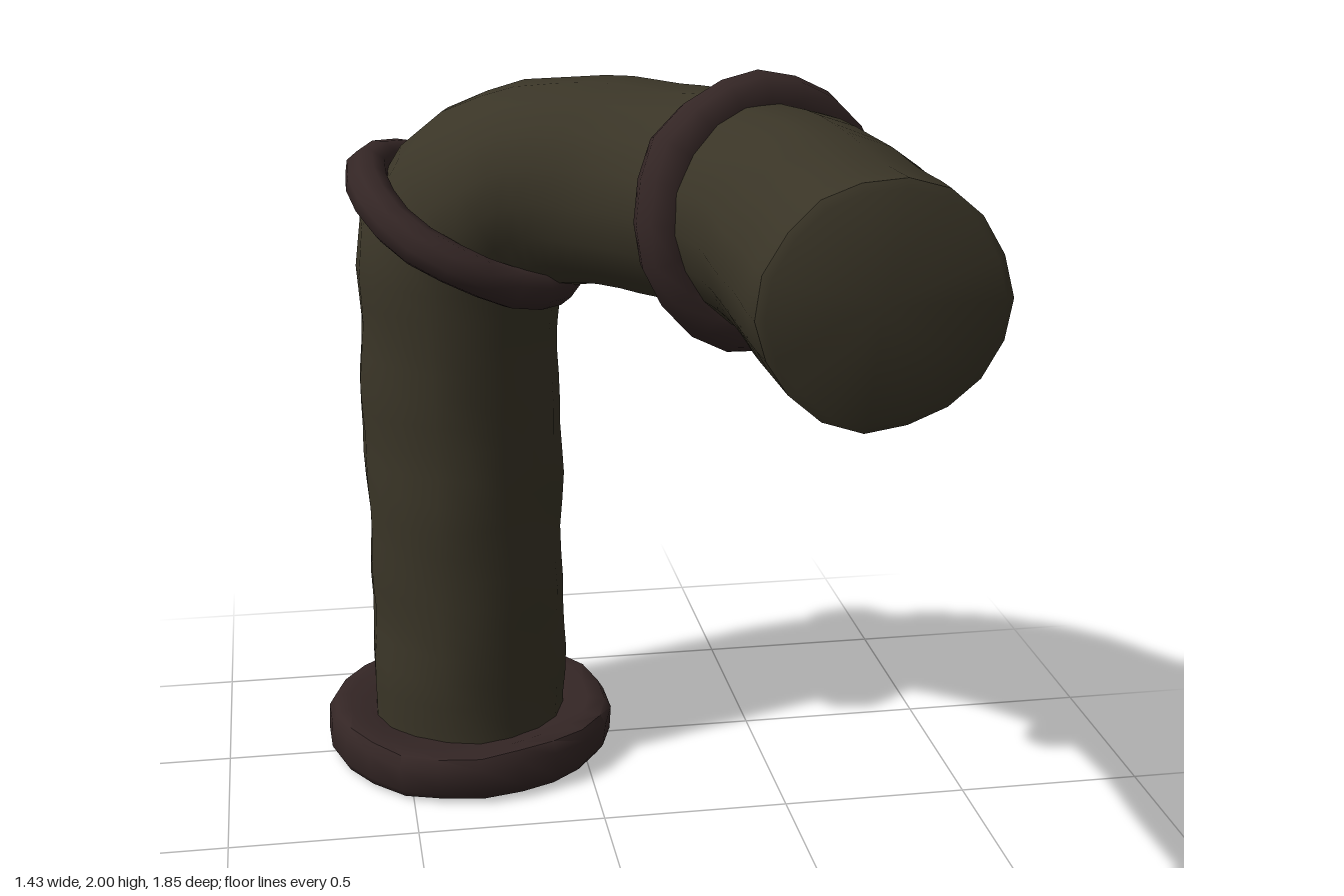
import * as THREE from 'three';
import { mergeVertices, toCreasedNormals } from 'three/addons/utils/BufferGeometryUtils.js';

const pipeMat = new THREE.MeshStandardMaterial({ color: 0x3a3527 });
const rimMat = new THREE.MeshStandardMaterial({ color: 0x342625 });
const v = (x, y, z) => new THREE.Vector3(x, y, z);

// Smooth, repeatable hand-worked unevenness
const wobble = (p, k) =>
  k * (Math.sin(p.x * 17 + p.y * 9) + Math.sin(p.z * 15 - p.y * 13 + 1) + Math.sin(p.y * 23 + p.x * 7 + 2)) / 3;

function dent(geometry, amount) {
  geometry.deleteAttribute('uv');
  geometry.deleteAttribute('normal');
  const g = mergeVertices(geometry, 1e-4);
  const pos = g.attributes.position;
  const p = v(0, 0, 0);
  for (let i = 0; i < pos.count; i++) {
    p.fromBufferAttribute(pos, i);
    const a = wobble(p, amount);
    const b = wobble(v(p.z, p.x, p.y), amount);
    pos.setXYZ(i, p.x + a, p.y + b * 0.7, p.z - b);
  }
  return toCreasedNormals(g, 0.95);
}

// Closed round sweep along a curve; the first and last loops shrink to caps
function sweep(curve, radius, steps, sides) {
  const frames = curve.computeFrenetFrames(steps, false);
  const positions = [];
  const index = [];
  const loops = [[0, 0], [0, 0.96]];
  for (let i = 0; i <= steps; i++) loops.push([i, 1]);
  loops.push([steps, 0.93], [steps, 0]);
  loops.forEach(([i, scale], row) => {
    const c = curve.getPointAt(i / steps);
    if (row >= steps + 3) c.addScaledVector(frames.tangents[steps], 0.012);
    for (let j = 0; j < sides; j++) {
      const a = (j / sides) * Math.PI * 2;
      const p = c.clone()
        .addScaledVector(frames.normals[i], Math.cos(a) * radius * scale)
        .addScaledVector(frames.binormals[i], Math.sin(a) * radius * scale);
      positions.push(p.x, p.y, p.z);
      if (row) {
        const k = (j + 1) % sides;
        const lo = (row - 1) * sides;
        const hi = row * sides;
        index.push(lo + j, lo + k, hi + j, lo + k, hi + k, hi + j);
      }
    }
  });
  const g = new THREE.BufferGeometry();
  g.setAttribute('position', new THREE.Float32BufferAttribute(positions, 3));
  g.setIndex(index);
  return g;
}

export function createModel() {
  const group = new THREE.Group();
  const add = (name, geometry, material) => {
    const mesh = new THREE.Mesh(geometry, material);
    mesh.name = name;
    group.add(mesh);
    return mesh;
  };

  // Pipe: upright, elbow and forward outlet
  const path = new THREE.CatmullRomCurve3([
    v(-0.31, 0.08, -0.53), v(-0.31, 0.7, -0.53), v(-0.315, 1.3, -0.53),
    v(-0.29, 1.53, -0.51), v(-0.08, 1.65, -0.44), v(0.14, 1.665, -0.29),
    v(0.37, 1.665, 0.02), v(0.435, 1.665, 0.25), v(0.44, 1.665, 0.6), v(0.44, 1.665, 0.905),
  ], false, 'centripetal');
  add('pipe', dent(sweep(path, 0.27, 44, 18), 0.009), pipeMat);

  // Collars around the two joints
  const collars = [
    ['lowerCollar', v(-0.29, 1.54, -0.49), v(0.5, 1, 0.27), 0.292, 0.054],
    ['upperCollar', v(0.38, 1.66, 0.03), v(0.29, 0.12, 0.95), 0.277, 0.066],
  ];
  for (const [name, centre, axis, radius, tube] of collars) {
    const g = dent(new THREE.TorusGeometry(radius, tube, 9, 20), 0.008);
    const mesh = add(name, g, rimMat);
    mesh.position.copy(centre);
    mesh.quaternion.setFromUnitVectors(v(0, 0, 1), axis.normalize());
  }

  // Base flange with a rounded rim
  const profile = [
    [0, 0.022], [0.27, 0.022], [0.34, 0.01], [0.385, 0.015], [0.402, 0.04],
    [0.402, 0.11], [0.385, 0.138], [0.34, 0.142], [0.28, 0.125], [0.2, 0.12],
  ].map(([r, y]) => new THREE.Vector2(r, y));
  const flange = add('baseFlange', dent(new THREE.LatheGeometry(profile, 22), 0.009), rimMat);
  flange.position.set(-0.315, 0, -0.525);

  return group;
}
